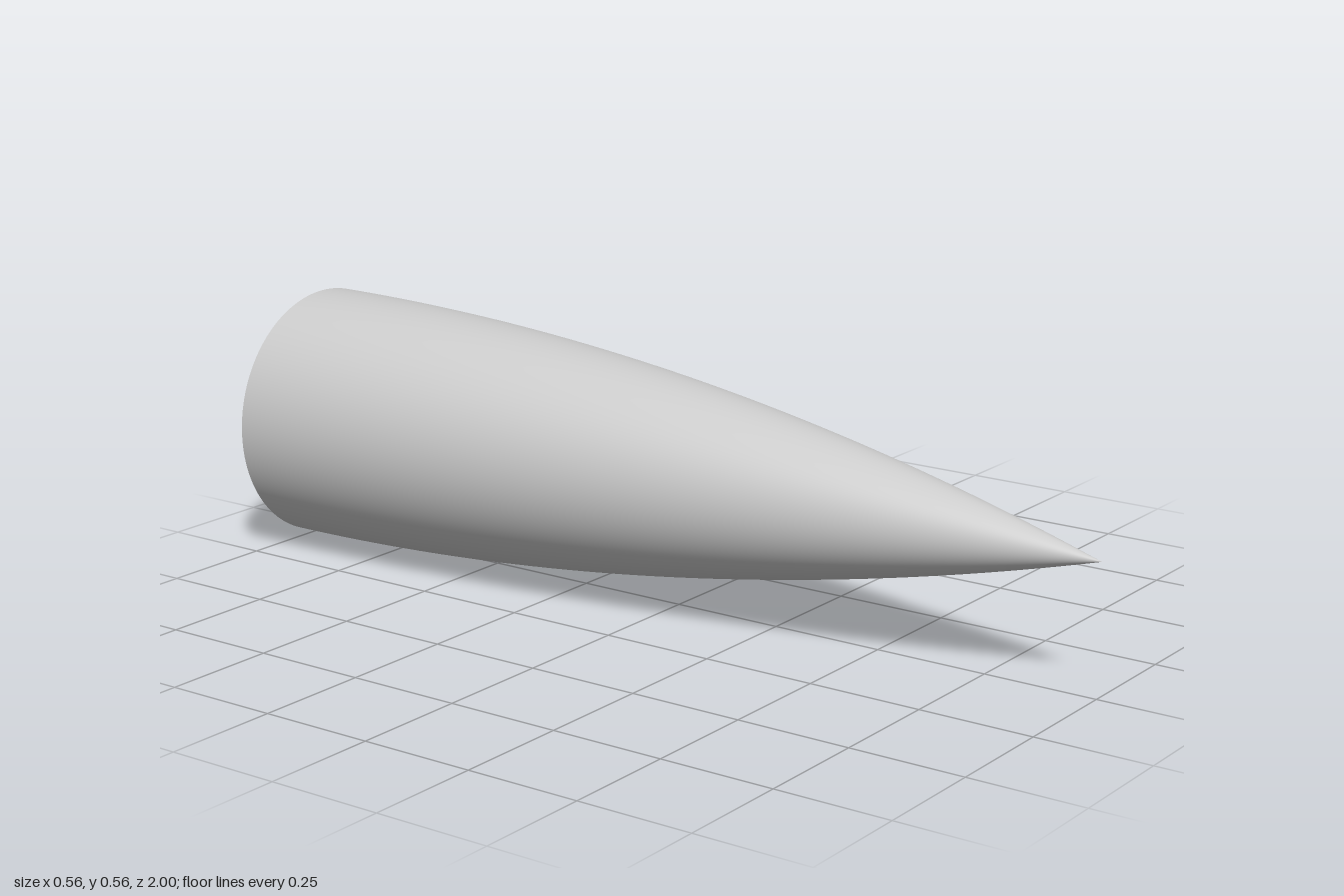
import * as THREE from 'three';

const RADIUS = 0.28, LENGTH = 2, WALL = 0.024, SIDES = 128, STEPS = 64;

// Radius of the circular arc that meets the base tangentially and ends at the tip
const ARC = (RADIUS ** 2 + LENGTH ** 2) / (2 * RADIUS);

// Arc profile from base (y = 0) to tip, moved inward by a wall thickness
function ogive(inset) {
  const arc = ARC - inset, offset = ARC - RADIUS;
  const endAngle = Math.acos(offset / arc);
  return Array.from({ length: STEPS + 1 }, (_, i) => {
    const a = endAngle * i / STEPS;
    return new THREE.Vector2(Math.max(0, arc * Math.cos(a) - offset), arc * Math.sin(a));
  });
}

export function createModel() {
  const group = new THREE.Group();
  group.name = 'noseCone';
  const material = new THREE.MeshStandardMaterial({ color: 0xcccccc });

  // Each surface is turned separately so the rim edges stay sharp
  const addTurned = (name, points) => {
    const geometry = new THREE.LatheGeometry(points, SIDES);
    geometry.rotateX(Math.PI / 2).translate(0, RADIUS, -LENGTH / 2);
    const mesh = new THREE.Mesh(geometry, material);
    mesh.name = name;
    group.add(mesh);
  };

  addTurned('outerShell', ogive(0));
  addTurned('innerShell', ogive(WALL).reverse());
  addTurned('baseRim', [new THREE.Vector2(RADIUS - WALL, 0), new THREE.Vector2(RADIUS, 0)]);

  return group;
}
